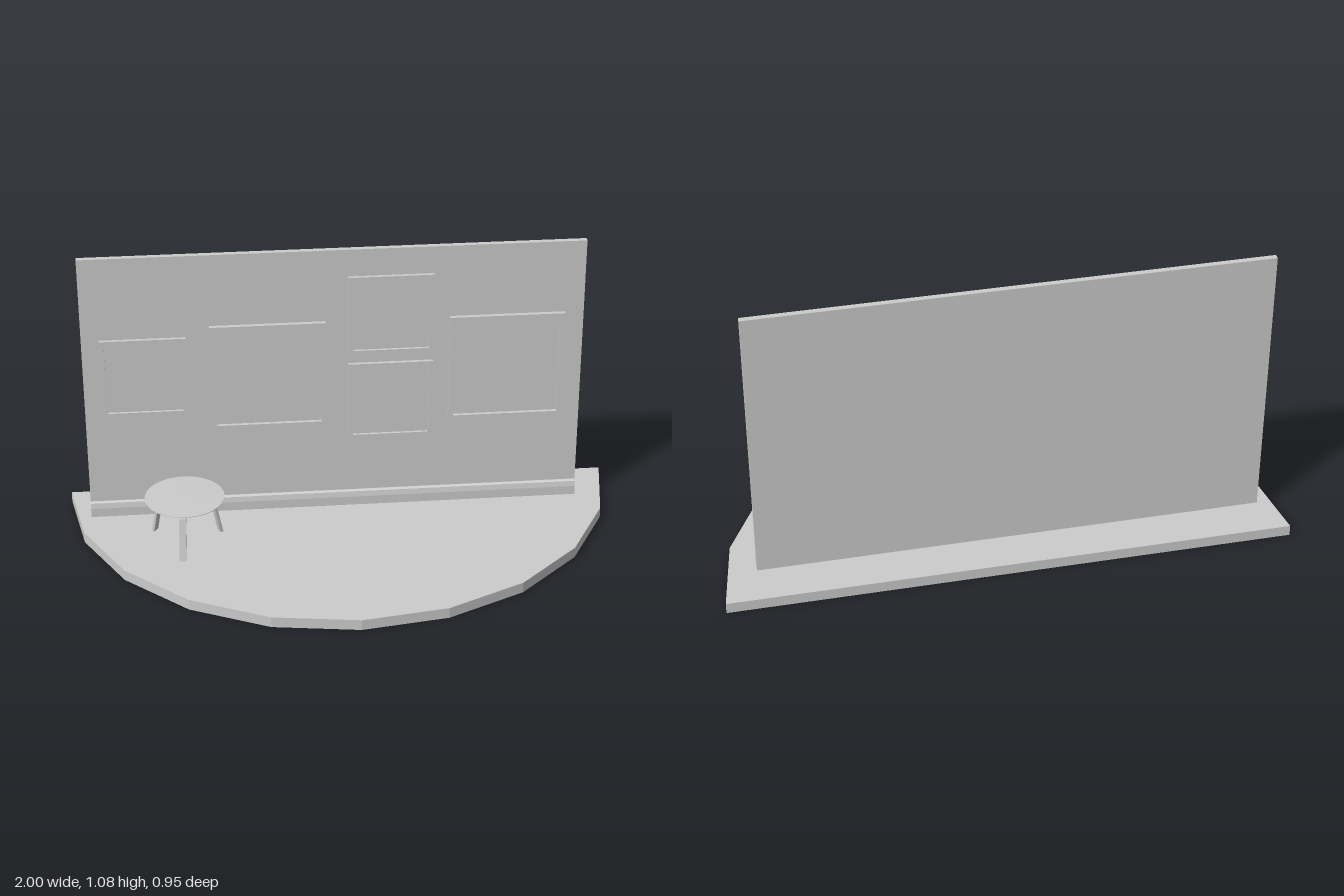
import * as THREE from 'three';

const material = new THREE.MeshStandardMaterial({ color: 0xcccccc, flatShading: true, side: THREE.DoubleSide });

function part(name, geometry, x = 0, y = 0, z = 0) {
  const mesh = new THREE.Mesh(geometry, material);
  mesh.name = name;
  mesh.position.set(x, y, z);
  return mesh;
}

function polygon(points) {
  return new THREE.Shape(points.map(([x, y]) => new THREE.Vector2(x, y)));
}

function square(size, Type) {
  const h = size / 2;
  return new Type([[-h, -h], [h, -h], [h, h], [-h, h]].map(([x, y]) => new THREE.Vector2(x, y)));
}

const FLOOR = 0.04;
const BACK = -0.477;
const WALL_FRONT = -0.304;
const WALL_LEFT = -0.925;
const WALL_WIDTH = 1.798;

// Half-round platform: an open-bottomed shell with faceted rim
function createPlatform() {
  const group = new THREE.Group();
  group.name = 'platform';
  const rim = part('platformRim',
    new THREE.CylinderGeometry(1, 1, FLOOR, 10, 1, true, -Math.PI / 2, Math.PI), 0, FLOOR / 2, 0);
  const top = part('platformTop',
    new THREE.CircleGeometry(1, 10, Math.PI, Math.PI).rotateX(-Math.PI / 2), 0, FLOOR, 0);
  const back = part('platformBack', new THREE.PlaneGeometry(2, FLOOR).rotateY(Math.PI), 0, FLOOR / 2, 0);
  group.add(rim, top, back);
  group.scale.z = 0.95;
  group.position.z = BACK;
  return group;
}

// Square picture frame with a recessed panel
function createPicture(x, y, size, depth) {
  const group = new THREE.Group();
  group.name = 'picture';
  const border = 0.017;
  const outline = square(size, THREE.Shape);
  outline.holes.push(square(size - 2 * border, THREE.Path));
  const frame = new THREE.ExtrudeGeometry(outline, { depth, bevelEnabled: false });
  group.add(part('pictureFrame', frame, 0, 0, 0.004));
  const inner = size - 2 * border;
  group.add(part('picturePanel', new THREE.BoxGeometry(inner, inner, 0.007), 0, 0, 0.0035));
  group.position.set(x, y, WALL_FRONT);
  return group;
}

// Round side table on three bent legs
function createTable() {
  const group = new THREE.Group();
  group.name = 'table';
  const profile = [[0, 0.215], [0.118, 0.215], [0.138, 0.219], [0.143, 0.221], [0.143, 0.223], [0, 0.224]];
  group.add(part('tableTop', new THREE.LatheGeometry(
    profile.map(([r, y]) => new THREE.Vector2(r, y)), 48)));

  const width = 0.026;
  const foot = FLOOR - 0.001;
  const legShape = polygon([
    [0.133, foot], [0.144, foot], [0.112, 0.196], [0.107, 0.207], [0.095, 0.215],
    [0, 0.215], [0, 0.207], [0.091, 0.207], [0.098, 0.203], [0.102, 0.194],
  ]);
  const legGeometry = new THREE.ExtrudeGeometry(legShape, { depth: width, bevelEnabled: false });
  legGeometry.translate(0, 0, -width / 2);
  for (let i = 0; i < 3; i++) {
    const leg = part('tableLeg', legGeometry);
    leg.rotation.y = -THREE.MathUtils.degToRad(96 + 120 * i);
    group.add(leg);
  }
  group.position.set(-0.583, 0, -0.101);
  return group;
}

export function createModel() {
  const model = new THREE.Group();
  model.name = 'galleryCorner';
  model.add(createPlatform());

  // Wall standing on the platform
  const wallTop = 1.075, wallBottom = FLOOR - 0.001, wallDepth = 0.02;
  model.add(part('wall', new THREE.BoxGeometry(WALL_WIDTH, wallTop - wallBottom, wallDepth),
    WALL_LEFT + WALL_WIDTH / 2, (wallTop + wallBottom) / 2, WALL_FRONT - wallDepth / 2));

  // Baseboard with a sloped upper edge
  const boardShape = polygon([
    [0, wallBottom], [-0.012, wallBottom], [-0.012, 0.074], [-0.008, 0.094], [-0.002, 0.1], [0, 0.1],
  ]);
  const board = new THREE.ExtrudeGeometry(boardShape, { depth: WALL_WIDTH, bevelEnabled: false });
  board.rotateY(Math.PI / 2);
  model.add(part('baseboard', board, WALL_LEFT, 0, WALL_FRONT));

  // Pictures: centre x, centre y, size, depth
  const pictures = [
    [-0.709, 0.608, 0.307, 0.013],
    [-0.264, 0.594, 0.415, 0.016],
    [0.177, 0.82, 0.307, 0.013],
    [0.177, 0.476, 0.307, 0.013],
    [0.596, 0.594, 0.415, 0.016],
  ];
  for (const p of pictures) model.add(createPicture(...p));

  model.add(createTable());
  return model;
}
